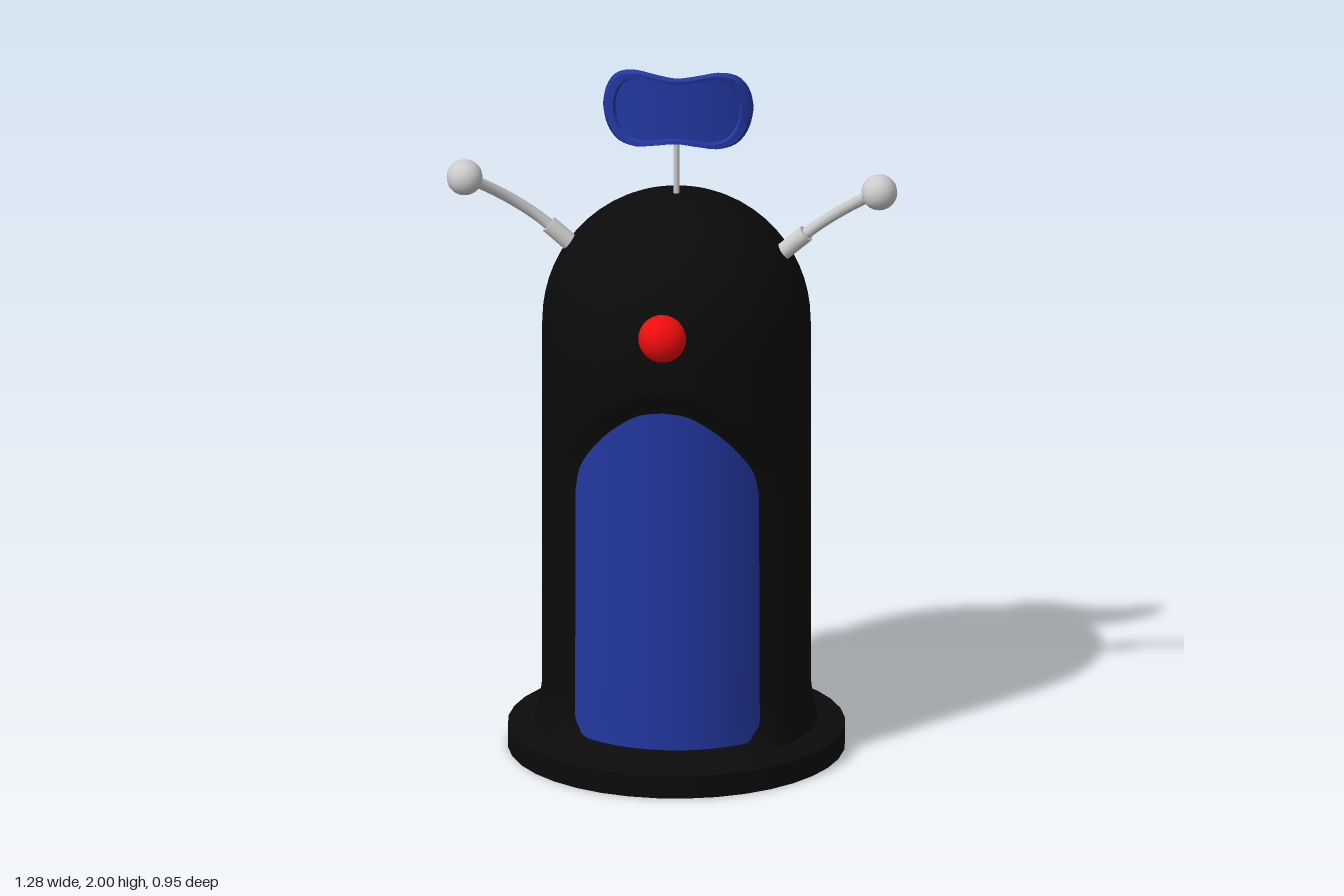
import * as THREE from 'three';
import { toCreasedNormals } from 'three/addons/utils/BufferGeometryUtils.js';

const V2 = (x, y) => new THREE.Vector2(x, y);
const V3 = (x, y, z) => new THREE.Vector3(x, y, z);
const mat = (color) => new THREE.MeshStandardMaterial({ color, side: THREE.DoubleSide });
const CX = -0.005; // the body sits a hair off centre

function add(parent, name, geometry, material, x = 0, y = 0, z = 0) {
  const mesh = new THREE.Mesh(geometry, material);
  mesh.name = name;
  mesh.position.set(x, y, z);
  parent.add(mesh);
  return mesh;
}

// Smooth surface from a function of (row, column) in 0..1
function gridSurface(rows, cols, point) {
  const pos = [], index = [];
  for (let r = 0; r <= rows; r++) {
    for (let c = 0; c <= cols; c++) pos.push(...point(r / rows, c / cols));
  }
  for (let r = 0; r < rows; r++) {
    for (let c = 0; c < cols; c++) {
      const a = r * (cols + 1) + c, b = a + cols + 1;
      index.push(a, a + 1, b + 1, a, b + 1, b);
    }
  }
  const geo = new THREE.BufferGeometry();
  geo.setAttribute('position', new THREE.Float32BufferAttribute(pos, 3));
  geo.setIndex(index);
  geo.computeVertexNormals();
  return geo;
}

// Right half of the arched belly panel: bottom centre round to the apex
const panelCurve = new THREE.CurvePath();
panelCurve.add(new THREE.LineCurve(V2(0, 0.095), V2(0.2, 0.095)));
panelCurve.add(new THREE.QuadraticBezierCurve(V2(0.2, 0.095), V2(0.262, 0.1), V2(0.262, 0.16)));
panelCurve.add(new THREE.LineCurve(V2(0.262, 0.16), V2(0.26, 0.83)));
panelCurve.add(new THREE.SplineCurve([V2(0.26, 0.83), V2(0.245, 0.905), V2(0.2, 0.98), V2(0.14, 1.045), V2(0.07, 1.092), V2(0, 1.105)]));
const outline = panelCurve.getPoints(14);

// Distance outside the panel outline (0 when inside)
function outsidePanel(x, y) {
  const px = Math.abs(x);
  let best = Infinity, inside = false;
  for (let i = 0; i < outline.length - 1; i++) {
    const a = outline[i], b = outline[i + 1];
    const dx = b.x - a.x, dy = b.y - a.y, len = dx * dx + dy * dy;
    if (len < 1e-12) continue;
    const t = THREE.MathUtils.clamp(((px - a.x) * dx + (y - a.y) * dy) / len, 0, 1);
    best = Math.min(best, Math.hypot(px - a.x - t * dx, y - a.y - t * dy));
    if ((a.y > y) !== (b.y > y) && px < a.x + (dx * (y - a.y)) / dy) inside = true;
  }
  return inside ? 0 : best;
}

// Domed shell with a softly sunken recess around the panel
function bodyGeometry() {
  const profile = [V2(0.39, 0), V2(0.4, 0.08), V2(0.392, 0.105), V2(0.385, 0.14), V2(0.381, 0.17)];
  for (let y = 0.19; y < 1.26; y += 0.02) profile.push(V2(0.379, y));
  for (let i = 0; i <= 16; i++) {
    const a = (i / 16) * Math.PI / 2;
    profile.push(V2(0.378 * Math.cos(a), 1.267 + 0.376 * Math.sin(a)));
  }
  const geo = new THREE.LatheGeometry(profile, 128, Math.PI);
  const p = geo.attributes.position;
  for (let i = 0; i < p.count; i++) {
    const x = p.getX(i), y = p.getY(i), z = p.getZ(i);
    if (z < 0.05 || y < 0.085 || y > 1.25) continue;
    const r = Math.hypot(x, z);
    const k = THREE.MathUtils.smoothstep(outsidePanel(x, y), 0.005, 0.065);
    const s = THREE.MathUtils.lerp(0.338, r, k) / r;
    p.setXYZ(i, x * s, y, z * s);
  }
  geo.deleteAttribute('normal');
  geo.deleteAttribute('uv');
  return toCreasedNormals(geo, 0.7);
}

// Peanut-shaped paddle: rings of one outline, raised rim, bent backwards at the ends
function paddleGeometry() {
  const quarter = [[0.212, 0.01], [0.2, 0.06], [0.17, 0.098], [0.12, 0.112], [0.06, 0.104]];
  const half = [...quarter, [0, 0.096], ...quarter.slice().reverse().map(([x, y]) => [-x, y])];
  const loop = [...half, ...half.slice().reverse().map(([x, y]) => [x, -y])];
  const curve = new THREE.CatmullRomCurve3(loop.map(([x, y]) => V3(x, y, 0)), true);
  const rings = [[0.001, 0.004], [0.3, 0.004], [0.6, 0.004], [0.83, 0.004], [0.86, 0.016], [0.96, 0.018],
    [1, 0.008], [1, -0.004], [0.95, -0.01], [0.86, -0.01], [0.83, -0.004], [0.5, -0.004], [0.001, -0.004]];
  const n = rings.length - 1;
  const geo = gridSurface(n, 64, (r, c) => {
    const [s, z] = rings[Math.round(r * n)];
    const q = curve.getPoint(c % 1);
    const x = q.x * s;
    return [x, q.y * s, z - 1.2 * x * x];
  });
  // Turn the winding outward
  const idx = geo.index.array;
  for (let i = 0; i < idx.length; i += 3) [idx[i + 1], idx[i + 2]] = [idx[i + 2], idx[i + 1]];
  return toCreasedNormals(geo, 0.7);
}

export function createModel() {
  const model = new THREE.Group();
  const black = mat(0x0b0b0b), blue = mat(0x2337a0), red = mat(0xee0c0c), grey = mat(0xcccccc);

  // Body shell and foot flange
  add(model, 'body', bodyGeometry(), black, CX);
  const flange = new THREE.LatheGeometry(
    [V2(0.39, 0), V2(0.476, 0), V2(0.476, 0.066), V2(0.4, 0.084), V2(0.385, 0.084)], 36);
  add(model, 'baseFlange', toCreasedNormals(flange, 0.5), black, CX);

  // Belly panel wrapped round the recess
  const n = outline.length - 1;
  const panel = gridSurface(n, 24, (r, c) => {
    const q = outline[Math.round(r * n)];
    const x = q.x * (2 * c - 1);
    return [x, q.y, Math.sqrt(0.35 ** 2 - x * x)];
  });
  add(model, 'bellyPanel', panel, blue, CX);

  // Nose
  add(model, 'nose', new THREE.SphereGeometry(0.07, 24, 16), red, CX, 1.33, 0.35);

  // Curved arms with sleeve and ball
  for (const side of [1, -1]) {
    const arm = new THREE.Group();
    arm.name = side > 0 ? 'leftArm' : 'rightArm';
    const path = new THREE.CatmullRomCurve3([[0.33, 1.51, 0.015], [0.39, 1.563, 0.022],
      [0.46, 1.62, 0.05], [0.53, 1.676, 0.1], [0.588, 1.722, 0.16]].map(([x, y, z]) => V3(side * x, y, z)));
    add(arm, 'armRod', new THREE.TubeGeometry(path, 20, 0.016, 10), grey);
    const a = V3(side * 0.295, 1.48, 0.014), b = V3(side * 0.365, 1.542, 0.018);
    const sleeve = add(arm, 'armSleeve', new THREE.CylinderGeometry(0.025, 0.025, a.distanceTo(b), 16), grey);
    sleeve.position.copy(a).lerp(b, 0.5);
    sleeve.quaternion.setFromUnitVectors(V3(0, 1, 0), b.clone().sub(a).normalize());
    add(arm, 'armBall', new THREE.SphereGeometry(0.051, 20, 14), grey, side * 0.588, 1.722, 0.16);
    model.add(arm);
  }

  // Stem and paddle on top
  add(model, 'paddleStem', new THREE.CylinderGeometry(0.008, 0.008, 0.24, 10), grey, CX, 1.74, 0);
  add(model, 'paddle', paddleGeometry(), blue, CX, 1.888, 0.005);
  return model;
}
